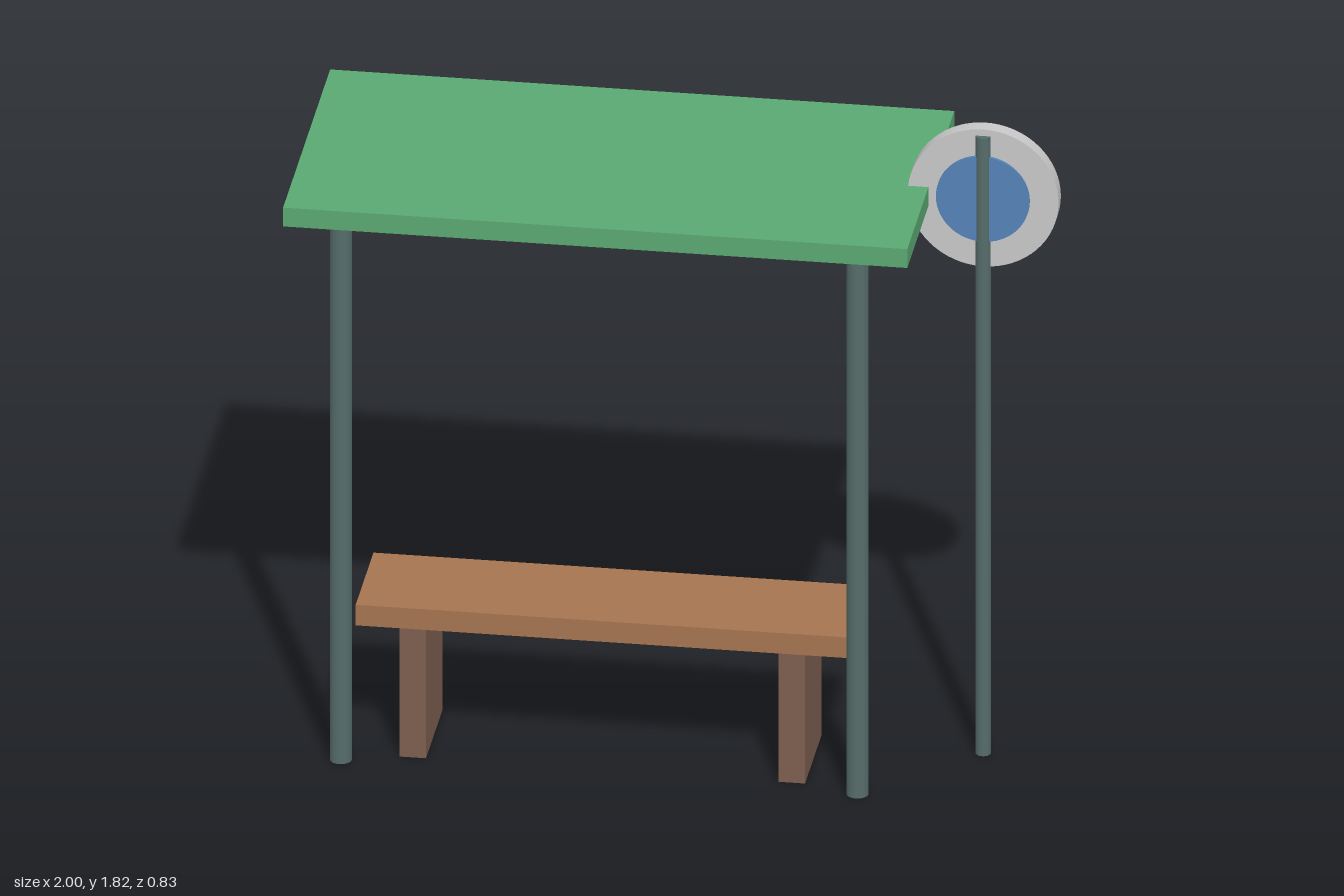
import * as THREE from 'three';

const mat = (name, color) => {
  const m = new THREE.MeshStandardMaterial({ color });
  m.name = name;
  return m;
};

export function createModel() {
  const green = mat('roof green', 0x5aa872);
  const steel = mat('post grey green', 0x556c6a);
  const wood = mat('seat wood', 0xa5744f);
  const darkWood = mat('leg wood', 0x7d5f4f);
  const grey = mat('sign grey', 0xc8c8c8);
  const blue = mat('sign blue', 0x5583b8);

  const model = new THREE.Group();
  model.name = 'busShelter';

  const add = (name, geometry, material) => {
    const mesh = new THREE.Mesh(geometry, material);
    mesh.name = name;
    model.add(mesh);
  };
  // Box given by its two extents on each axis
  const box = (name, material, [x0, x1], [y0, y1], [z0, z1]) =>
    add(name, new THREE.BoxGeometry(x1 - x0, y1 - y0, z1 - z0)
      .translate((x0 + x1) / 2, (y0 + y1) / 2, (z0 + z1) / 2), material);
  // Upright round post standing on the ground
  const post = (name, x, z, radius, height) =>
    add(name, new THREE.CylinderGeometry(radius, radius, height, 24)
      .translate(x, height / 2, z), steel);
  // Round plate facing the front
  const disc = (name, material, radius, z0, z1) =>
    add(name, new THREE.CylinderGeometry(radius, radius, z1 - z0, 64)
      .rotateX(Math.PI / 2).translate(0.8, 1.624, (z0 + z1) / 2), material);

  // Roof and its two front posts
  box('roof', green, [-1, 0.655], [1.59, 1.645], [-0.414, 0.414]);
  post('rightPost', -0.86, 0.327, 0.029, 1.6);
  post('leftPost', 0.51, 0.327, 0.029, 1.6);

  // Bench
  box('seat', wood, [-0.825, 0.48], [0.38, 0.44], [-0.015, 0.298]);
  box('rightBenchLeg', darkWood, [-0.71, -0.64], [0, 0.38], [0, 0.288]);
  box('leftBenchLeg', darkWood, [0.295, 0.365], [0, 0.38], [0, 0.288]);

  // Stop sign: pole, round plate and a centre showing on both sides
  post('signPole', 0.8, 0.039, 0.02, 1.805);
  disc('signPlate', grey, 0.2, 0, 0.042);
  disc('signCentre', blue, 0.124, -0.001, 0.05);

  return model;
}
